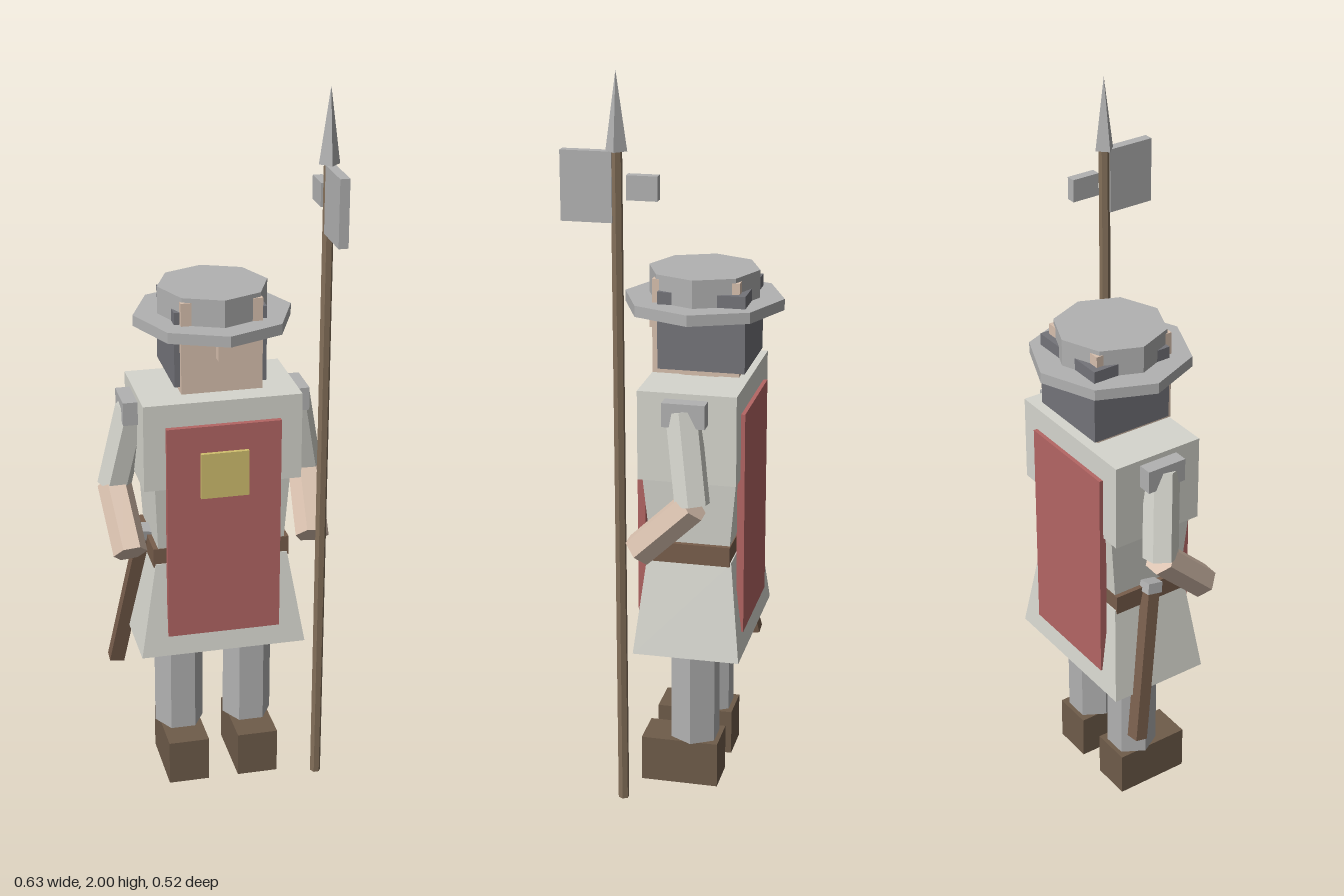
import * as THREE from 'three';

const mat = (name, color) => {
  const m = new THREE.MeshStandardMaterial({ color, flatShading: true });
  m.name = name;
  return m;
};

export function createModel() {
  const cloth = mat('cloth', 0xd6d6ce);
  const red = mat('red tabard', 0xb46664);
  const gold = mat('gold', 0xd0bf6e);
  const skin = mat('skin', 0xd8c0ae);
  const steel = mat('steel', 0xb2b2b2);
  const dark = mat('dark hood', 0x74747a);
  const boot = mat('boot leather', 0x6f5c4a);
  const leather = mat('belt leather', 0x785e4c);
  const wood = mat('wood', 0x84705a);

  const group = new THREE.Group();
  group.name = 'guard';
  const Z = -0.046; // depth of the body axis

  const add = (name, geo, material, x, y, z) => {
    const m = new THREE.Mesh(geo, material);
    m.name = name;
    m.position.set(x, y, z);
    group.add(m);
    return m;
  };
  // box given by its lowest and highest corners
  const box = (name, material, [x0, y0, z0], [x1, y1, z1]) =>
    add(name, new THREE.BoxGeometry(x1 - x0, y1 - y0, z1 - z0), material,
      (x0 + x1) / 2, (y0 + y1) / 2, (z0 + z1) / 2);
  // box with separate half sizes at top and bottom
  const taper = (name, material, y0, y1, bottom, top) => {
    const geo = new THREE.BoxGeometry(2, y1 - y0, 2);
    const p = geo.attributes.position;
    for (let i = 0; i < p.count; i++) {
      const [hx, hz] = p.getY(i) > 0 ? top : bottom;
      p.setX(i, p.getX(i) * hx);
      p.setZ(i, p.getZ(i) * hz);
    }
    geo.computeVertexNormals();
    return add(name, geo, material, 0, (y0 + y1) / 2, Z);
  };
  // place a mesh between two points, its y axis running from a to b
  const between = (name, makeGeo, material, a, b) => {
    const A = new THREE.Vector3(...a), B = new THREE.Vector3(...b);
    const d = B.clone().sub(A);
    const m = add(name, makeGeo(d.length()), material, 0, 0, 0);
    m.position.copy(A).add(B).multiplyScalar(0.5);
    m.quaternion.setFromUnitVectors(new THREE.Vector3(0, 1, 0), d.normalize());
    return m;
  };
  const hex = (r) => (len) => new THREE.CylinderGeometry(r, r, len, 6).rotateY(Math.PI / 6);

  // legs, boots, shoulders and arms
  for (const s of [1, -1]) {
    const side = s > 0 ? 'left' : 'right';
    add(side + 'Boot', new THREE.BoxGeometry(0.115, 0.13, 0.215), boot, s * 0.1, 0.065, -0.012);
    add(side + 'Leg', hex(0.07)(0.36), steel, s * 0.1, 0.31, Z);
    add(side + 'Shoulder', new THREE.BoxGeometry(0.11, 0.065, 0.115), steel, s * 0.202, 1.117, Z);
    between(side + 'UpperArm', hex(0.048), cloth, [s * 0.27, 0.88, -0.074], [s * 0.222, 1.12, -0.038]);
    between(side + 'Forearm', hex(0.047), skin, [s * 0.255, 0.735, 0.075], [s * 0.27, 0.88, -0.075]);
  }

  // body
  taper('skirt', cloth, 0.42, 0.69, [0.232, 0.146], [0.185, 0.115]);
  box('belt', leather, [-0.19, 0.68, Z - 0.112], [0.19, 0.735, Z + 0.112]);
  taper('waist', cloth, 0.72, 0.93, [0.176, 0.108], [0.187, 0.128]);
  box('chest', cloth, [-0.217, 0.92, -0.179], [0.217, 1.165, 0.086]);
  box('frontTabard', red, [-0.157, 0.48, 0.08], [0.157, 1.1, 0.101]);
  box('backTabard', red, [-0.157, 0.48, -0.19], [0.157, 1.1, -0.17]);
  box('chestBadge', gold, [-0.066, 0.895, 0.1], [0.066, 1.025, 0.112]);

  // head, hood and brimmed helmet
  box('neck', skin, [-0.053, 1.15, Z - 0.05], [0.053, 1.2, Z + 0.05]);
  box('head', skin, [-0.11, 1.185, -0.163], [0.11, 1.438, 0.07]);
  box('nose', skin, [-0.016, 1.28, 0.06], [0.016, 1.335, 0.1]);
  box('hood', dark, [-0.125, 1.2, -0.181], [0.125, 1.408, 0.053]);
  add('helmetBrim', new THREE.CylinderGeometry(0.216, 0.216, 0.03, 8), steel, 0, 1.36, Z);
  add('helmetCrown', new THREE.CylinderGeometry(0.15, 0.15, 0.08, 8), steel, 0, 1.41, Z);

  // sheathed sword on the right hip
  between('sheath', (l) => new THREE.BoxGeometry(0.042, l, 0.036), leather,
    [-0.265, 0.295, -0.143], [-0.196, 0.72, -0.055]);
  between('swordHilt', (l) => new THREE.BoxGeometry(0.05, l, 0.045), steel,
    [-0.196, 0.72, -0.055], [-0.191, 0.75, -0.049]);

  // polearm in the left hand
  const px = 0.266, pz = 0.12;
  add('pole', new THREE.CylinderGeometry(0.015, 0.015, 1.8, 6).rotateY(Math.PI / 6), wood, px, 0.9, pz);
  add('spearPoint', new THREE.ConeGeometry(0.028, 0.2, 4), steel, px, 1.9, pz);
  box('axeBlade', steel, [px - 0.013, 1.62, 0.13], [px + 0.013, 1.8, 0.263]);
  box('backSpike', steel, [px - 0.013, 1.68, 0.013], [px + 0.013, 1.743, 0.093]);

  return group;
}
